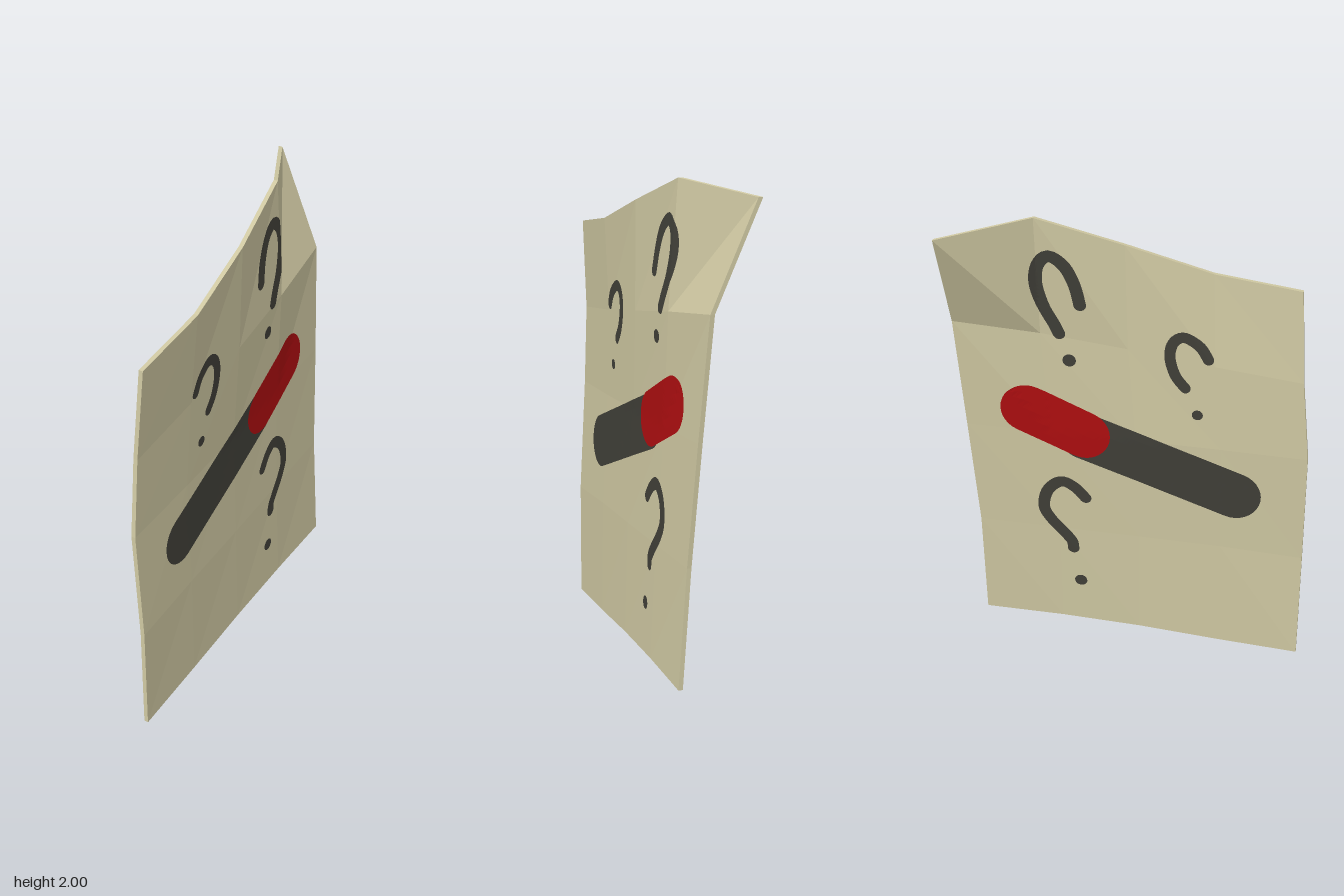
import * as THREE from 'three';

const THICK = 0.018, LIFT = 0.003;

// Sheet control grid, rows bottom to top, columns from +z to -z: [x, y, z] of the inner face
const ROWS_X = [
  [0.13, 0.13, 0.13, 0.13, 0.13],
  [0.128, 0.122, 0.116, 0.107, 0.097],
  [0.102, 0.1, 0.092, 0.08, 0.066],
  [0.1, 0.1, 0.094, 0.073, 0.032],
  [0.12, 0.122, 0.095, 0.036, -0.15],
];
const ROWS_Y = [
  [0, 0.02, 0.045, 0.058, 0.06],
  [0.5, 0.52, 0.53, 0.54, 0.55],
  [1.0, 1.01, 1.02, 1.03, 1.04],
  [1.35, 1.39, 1.44, 1.49, 1.53],
  [1.74, 1.785, 1.89, 2.0, 1.95],
];
const EDGE_Z = [[0.74, -0.68], [0.74, -0.68], [0.74, -0.71], [0.705, -0.74], [0.68, -0.74]];
const node = (r, c) => new THREE.Vector3(
  ROWS_X[r][c], ROWS_Y[r][c], THREE.MathUtils.lerp(EDGE_Z[r][0], EDGE_Z[r][1], c / 4));

// Triangles of the sheet, facing +x
const TRIS = [];
for (let r = 0; r < 4; r++) {
  for (let c = 0; c < 4; c++) {
    const a = node(r, c), b = node(r, c + 1), d = node(r + 1, c + 1), e = node(r + 1, c);
    TRIS.push([a, b, d], [a, d, e]);
  }
}

// Depth of the sheet's inner face at a point (z, y)
function sheetX(z, y) {
  const p = new THREE.Vector3(0, y, z), w = new THREE.Vector3();
  for (const t of TRIS) {
    const flat = t.map((v) => new THREE.Vector3(0, v.y, v.z));
    THREE.Triangle.getBarycoord(p, ...flat, w);
    if (Math.min(w.x, w.y, w.z) > -1e-6) return w.x * t[0].x + w.y * t[1].x + w.z * t[2].x;
  }
  return 0.1;
}

function toGeometry(points) {
  const g = new THREE.BufferGeometry().setFromPoints(points);
  g.computeVertexNormals();
  return g;
}

// Closed slab: front, back and rim
function sheetGeometry() {
  const pts = [];
  const front = (v) => v.clone().setX(v.x + THICK);
  for (const [a, b, c] of TRIS) pts.push(front(a), front(b), front(c), a, c, b);
  const rim = [];
  for (let i = 0; i < 4; i++) rim.push(node(0, i));
  for (let i = 0; i < 4; i++) rim.push(node(i, 4));
  for (let i = 4; i > 0; i--) rim.push(node(4, i));
  for (let i = 4; i > 0; i--) rim.push(node(i, 0));
  rim.forEach((p, i) => {
    const q = rim[(i + 1) % rim.length];
    pts.push(front(p), p, q, front(p), q, front(q));
  });
  return toGeometry(pts);
}

// Round-ended brush stroke along (z, y) points, laid on one face of the sheet
function strokeGeometry(path, radius, side, lift) {
  const curve = new THREE.SplineCurve(path.map(([z, y]) => new THREE.Vector2(z, y)));
  const stations = [], CAP = 8, N = 40, ACROSS = 6;
  const add = (u, along, half) => {
    const p = curve.getPointAt(u), t = curve.getTangentAt(u);
    p.addScaledVector(t, along);
    const row = [];
    for (let j = 0; j <= ACROSS; j++) {
      const o = half * (2 * j / ACROSS - 1);
      const z = p.x - t.y * o, y = p.y + t.x * o;
      const x = sheetX(z, y) + (side > 0 ? THICK + lift : -lift);
      row.push(new THREE.Vector3(x, y, z));
    }
    stations.push(row);
  };
  for (let i = 0; i < CAP; i++) {
    const a = (i / CAP) * Math.PI / 2;
    add(0, -radius * Math.cos(a), radius * Math.sin(a));
  }
  for (let i = 0; i <= N; i++) add(i / N, 0, radius);
  for (let i = CAP - 1; i >= 0; i--) {
    const a = (i / CAP) * Math.PI / 2;
    add(1, radius * Math.cos(a), radius * Math.sin(a));
  }
  const pts = [];
  for (let i = 0; i < stations.length - 1; i++) {
    for (let j = 0; j < ACROSS; j++) {
      const a = stations[i][j], b = stations[i + 1][j];
      const c = stations[i + 1][j + 1], d = stations[i][j + 1];
      if (side > 0) pts.push(a, c, b, a, d, c);
      else pts.push(a, b, c, a, c, d);
    }
  }
  return toGeometry(pts);
}

const dot = (z, y) => [[z - 0.001, y], [z + 0.001, y]];

export function createModel() {
  const material = (name, color) => {
    const m = new THREE.MeshStandardMaterial({ color });
    m.name = name;
    return m;
  };
  const paper = material('paper', 0xcfc8a2);
  paper.flatShading = true;
  const ink = material('charcoal ink', 0x403f38);
  const red = material('red ink', 0xad0e10);

  const group = new THREE.Group();
  group.name = 'paperNote';
  const sheet = new THREE.Mesh(sheetGeometry(), paper);
  sheet.name = 'paperSheet';
  group.add(sheet);

  // Marks show through on both faces
  const strokes = [
    ['barBody', [[0.44, 0.79], [-0.2, 1.02]], 0.113, ink, LIFT],
    ['barTip', [[-0.205, 1.03], [-0.445, 1.137]], 0.113, red, LIFT * 2],
    ['upperHook', [[-0.21, 1.63], [-0.23, 1.72], [-0.27, 1.8], [-0.33, 1.84], [-0.375, 1.8],
      [-0.385, 1.72], [-0.36, 1.62], [-0.32, 1.54], [-0.3, 1.495]], 0.026, ink, LIFT],
    ['upperDot', dot(-0.26, 1.375), 0.027, ink, LIFT],
    ['sideHook', [[0.315, 1.42], [0.28, 1.475], [0.215, 1.512], [0.17, 1.485], [0.157, 1.42],
      [0.18, 1.34], [0.222, 1.285]], 0.023, ink, LIFT],
    ['sideDot', dot(0.275, 1.165), 0.022, ink, LIFT],
    ['lowerHook', [[-0.205, 0.71], [-0.25, 0.76], [-0.31, 0.785], [-0.37, 0.735], [-0.39, 0.65],
      [-0.36, 0.585], [-0.3, 0.515], [-0.27, 0.475], [-0.265, 0.44]], 0.026, ink, LIFT],
    ['lowerDot', dot(-0.235, 0.267), 0.027, ink, LIFT],
  ];
  for (const [name, path, radius, mat, lift] of strokes) {
    for (const side of [1, -1]) {
      const mesh = new THREE.Mesh(strokeGeometry(path, radius, side, lift), mat);
      mesh.name = name + (side > 0 ? 'Front' : 'Back');
      group.add(mesh);
    }
  }
  return group;
}
